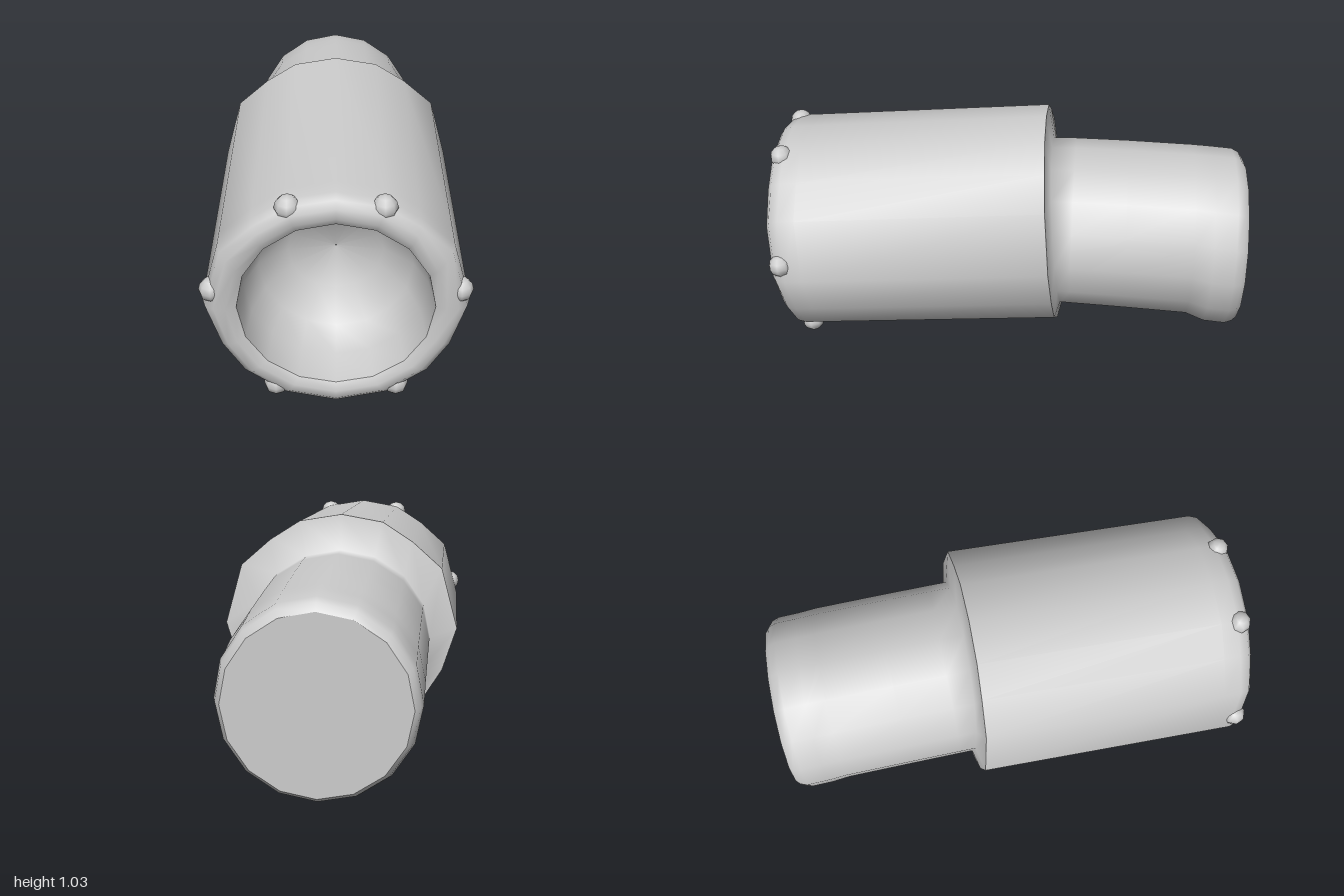
import * as THREE from 'three';

const SIDES = 16;
const TILT = 0.085;

// Right half of the sleeve's cross-section, top to bottom
const half = [[0, 0.47], [0.175, 0.44], [0.3, 0.36], [0.425, 0.25], [0.493, 0],
  [0.435, -0.18], [0.355, -0.31], [0.2, -0.425], [0, -0.47]];
const outline = [...half, ...half.slice(1, -1).reverse().map(([x, y]) => [-x, y])];

// Sleeve-local point to the tilted sleeve's place
const place = (x, y, s) => new THREE.Vector3(x, y, s)
  .applyAxisAngle(new THREE.Vector3(1, 0, 0), TILT)
  .add(new THREE.Vector3(0, 0.5225, 0.375));

const ring = (fn) => Array.from({ length: SIDES }, (_, i) => {
  const t = (i / SIDES) * Math.PI * 2;
  return fn(Math.sin(t), Math.cos(t), i);
});
// Sleeve ring: k = 0 is the round opening, k = 1 the outer outline
const sleeveRing = (k, s) => ring((sx, cy, i) => place(
  THREE.MathUtils.lerp(sx * 0.365, outline[i][0], k),
  THREE.MathUtils.lerp(cy * 0.365, outline[i][1], k), s));
const bowlRing = (r, s) => ring((sx, cy) => place(sx * r, cy * r, s));
const armRing = (z, rx, top, bottom, lean = 0) => ring((sx, cy) => new THREE.Vector3(
  sx * rx, (top + bottom) / 2 + cy * (top - bottom) / 2, z + lean * cy));

// Joins rings into a smooth skin
function loft(rings) {
  const index = [];
  for (let r = 0; r < rings.length - 1; r++) {
    for (let i = 0; i < SIDES; i++) {
      const j = (i + 1) % SIDES;
      const a = r * SIDES + i, b = r * SIDES + j;
      index.push(a, b, a + SIDES, b, b + SIDES, a + SIDES);
    }
  }
  const geo = new THREE.BufferGeometry().setFromPoints(rings.flat());
  geo.setIndex(index);
  geo.computeVertexNormals();
  return geo;
}

export function createModel() {
  const group = new THREE.Group();
  const material = new THREE.MeshStandardMaterial({ color: 0xcccccc });
  const add = (name, geo) => {
    const mesh = new THREE.Mesh(geo, material);
    mesh.name = name;
    group.add(mesh);
    return mesh;
  };

  // Hollow at the front
  add('frontCavity', loft([
    bowlRing(0.002, 0.17), bowlRing(0.19, 0.2), bowlRing(0.3, 0.3),
    bowlRing(0.35, 0.42), sleeveRing(0, 0.565)]));

  // Rounded rim and outer sleeve
  add('sleeve', loft([
    sleeveRing(0, 0.565), sleeveRing(0.3, 0.584), sleeveRing(0.65, 0.58),
    sleeveRing(0.9, 0.56), sleeveRing(1, 0.52), sleeveRing(1, 0.45),
    sleeveRing(1, -0.57)]));

  // Shoulder at the sleeve's back, running smoothly into the narrower arm
  const arm = [
    [-0.215, 0.38, 0.893, 0.178, 0.035],
    [-0.28, 0.38, 0.895, 0.175],
    [-0.5, 0.38, 0.893, 0.165],
    [-0.78, 0.38, 0.885, 0.15],
    [-0.86, 0.38, 0.882, 0.108],
    [-0.95, 0.38, 0.875, 0.1],
    [-0.98, 0.37, 0.86, 0.112],
    [-1, 0.35, 0.83, 0.13],
  ].map((row) => armRing(...row));
  add('arm', loft([sleeveRing(1, -0.57), ...arm]));
  add('armEndCap', loft([arm[arm.length - 1], armRing(-1, 0.001, 0.481, 0.479)]));

  // Knobs around the front rim, in mirrored pairs
  for (const [x, y] of [[0.17, 0.415], [0.455, 0.06], [0.23, -0.39]]) {
    for (const side of [-1, 1]) {
      const knob = add('rimKnob', new THREE.SphereGeometry(0.048, 8, 6));
      knob.position.copy(place(side * x, y, 0.535));
      knob.rotation.x = TILT;
    }
  }
  return group;
}
